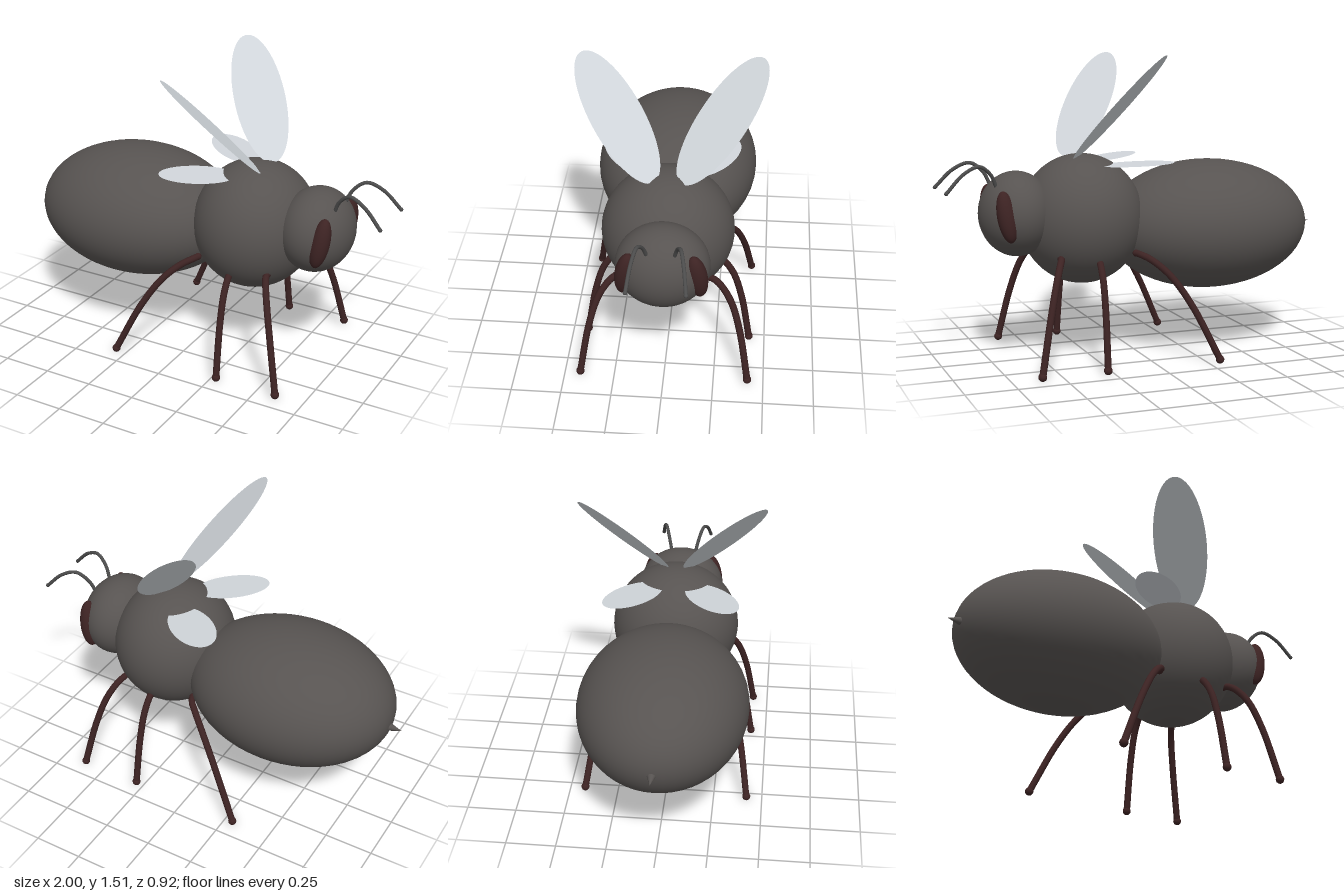
import * as THREE from 'three';

const V = (x, y, z) => new THREE.Vector3(x, y, z);

export function createModel() {
  const model = new THREE.Group();
  model.name = 'insect';

  const paint = (name, color, side = THREE.FrontSide) => {
    const m = new THREE.MeshStandardMaterial({ color, side });
    m.name = name;
    return m;
  };
  const bodyGrey = paint('bodyGrey', 0x575351);
  const darkBrown = paint('darkBrown', 0x3d2323);
  const antennaGrey = paint('antennaGrey', 0x4c4c4c);
  const wingGrey = paint('wingGrey', 0xd0d5da, THREE.DoubleSide);

  const add = (name, geometry, material, parent = model) => {
    const mesh = new THREE.Mesh(geometry, material);
    mesh.name = name;
    parent.add(mesh);
    return mesh;
  };
  const ellipsoid = (name, center, radii, material) => {
    const mesh = add(name, new THREE.SphereGeometry(1, 48, 32), material);
    mesh.scale.copy(radii);
    mesh.position.copy(center);
    return mesh;
  };
  const tube = (name, points, radius, material, parent) =>
    add(name, new THREE.TubeGeometry(new THREE.CatmullRomCurve3(points), 28, radius, 10), material, parent);
  const ball = (name, center, radius, material, parent) =>
    add(name, new THREE.SphereGeometry(radius, 14, 10), material, parent).position.copy(center);

  // Body, along x with the head at +x
  ellipsoid('abdomen', V(-0.4, 0.64, 0), V(0.54, 0.332, 0.42), bodyGrey);
  ellipsoid('thorax', V(0.28, 0.7, 0), V(0.31, 0.325, 0.328), bodyGrey);
  ellipsoid('head', V(0.615, 0.74, 0), V(0.185, 0.21, 0.225), bodyGrey);
  const stinger = add('stinger', new THREE.ConeGeometry(0.028, 0.09, 16), bodyGrey);
  stinger.rotation.z = Math.PI / 2;
  stinger.position.set(-0.955, 0.62, 0);

  // Flat elliptical wing from its long axis and its normal
  const wing = (name, center, axis, normal, length, width) => {
    const a = axis.normalize();
    const b = normal.clone().cross(a).normalize();
    const n = a.clone().cross(b);
    const mesh = add(name, new THREE.CircleGeometry(1, 56).scale(length, width, 1), wingGrey);
    mesh.quaternion.setFromRotationMatrix(new THREE.Matrix4().makeBasis(a, b, n));
    mesh.position.copy(center);
  };

  // Leg profile: height, sideways distance, progress from hip to foot
  const legProfile = [[0.54, 0.2, 0], [0.538, 0.23, 0.03], [0.515, 0.27, 0.15],
    [0.44, 0.325, 0.37], [0.29, 0.373, 0.64], [0.022, 0.42, 1]];
  const legs = [['frontLeg', 0.45, 0.61], ['middleLeg', 0.27, 0.285], ['rearLeg', 0.06, -0.3]];

  for (const s of [1, -1]) {
    const eye = ellipsoid('eye', V(0.704, 0.748, s * 0.166), V(0.047, 0.126, 0.052), darkBrown);
    eye.rotation.set(s * -0.06, s * 0.5, -0.16);

    const antenna = new THREE.Group();
    antenna.name = 'antenna';
    model.add(antenna);
    const feeler = [V(0.725, 0.87, s * 0.062), V(0.76, 0.945, s * 0.08), V(0.82, 0.988, s * 0.1),
      V(0.9, 0.957, s * 0.118), V(0.988, 0.87, s * 0.134)];
    tube('antennaStalk', feeler, 0.009, antennaGrey, antenna);
    ball('antennaTip', feeler[4], 0.01, antennaGrey, antenna);

    for (const [name, hipX, footX] of legs) {
      const leg = new THREE.Group();
      leg.name = name;
      model.add(leg);
      const points = legProfile.map(([y, z, t]) => V(hipX + (footX - hipX) * t, y, s * z));
      tube('limb', points, 0.017, darkBrown, leg);
      ball('hip', points[0], 0.018, darkBrown, leg);
      ball('foot', points[5], 0.021, darkBrown, leg);
    }

    wing('forewing', V(0.165, 1.26, s * 0.25), V(-0.47, 0.72, s * 0.52), V(-0.59, -0.66, s * 0.46), 0.356, 0.14);
    wing('hindwing', V(0.058, 0.983, s * 0.2), V(-0.8, 0.06, s * 0.6), V(0.075, 1, 0), 0.19, 0.105);
  }
  return model;
}
